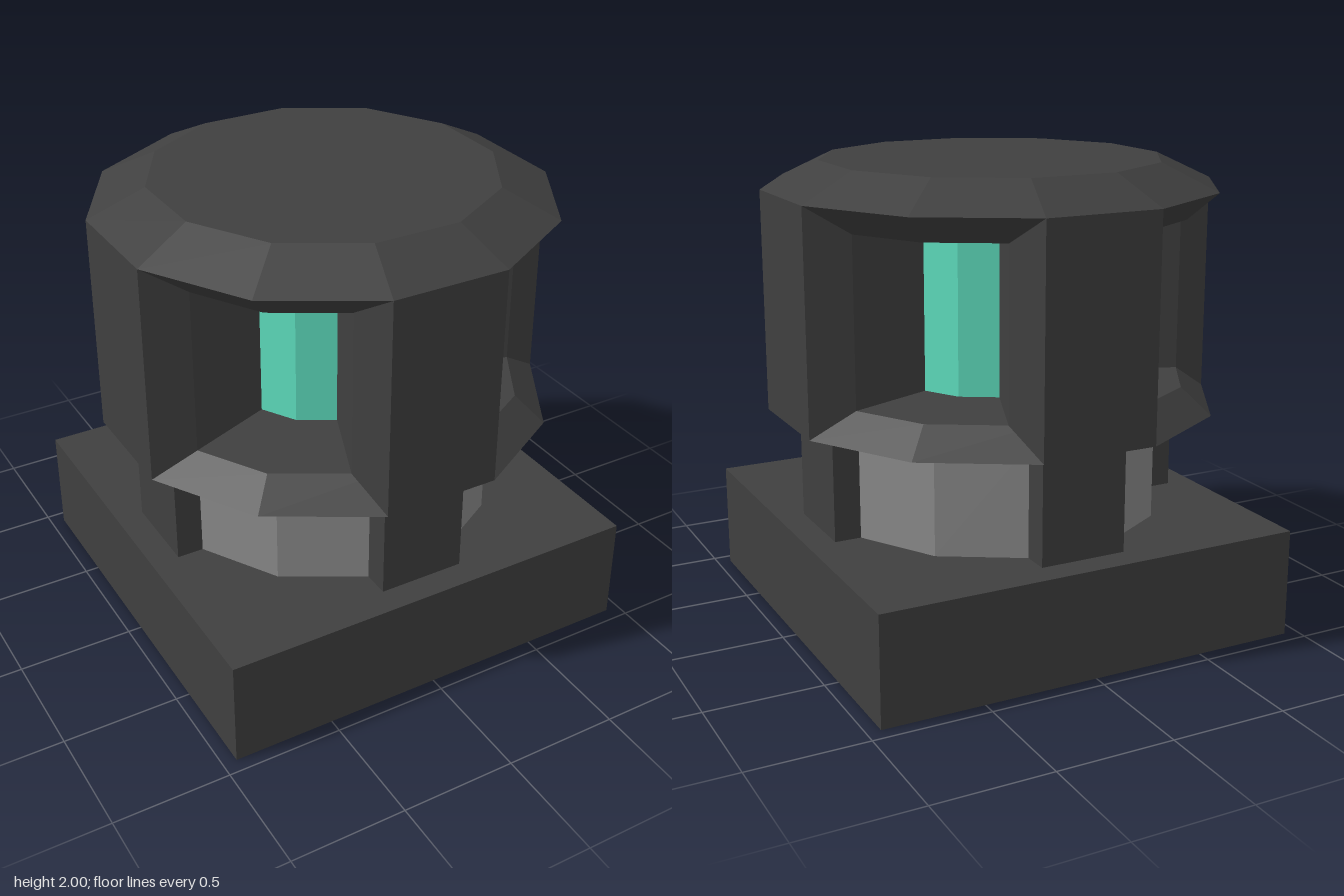
import * as THREE from 'three';

export function createModel() {
  const model = new THREE.Group();
  model.name = 'lantern';

  const mat = (name, color) => {
    const m = new THREE.MeshStandardMaterial({ color });
    m.name = name;
    return m;
  };
  const dark = mat('dark iron', 0x404040);
  const grey = mat('grey stone', 0x8a8a8a);
  const teal = mat('teal glow', 0x5fe0c0);

  // Flat facets baked into the normals
  const add = (name, geometry, material, parent = model) => {
    const g = geometry.index ? geometry.toNonIndexed() : geometry;
    g.computeVertexNormals();
    const mesh = new THREE.Mesh(g, material);
    mesh.name = name;
    parent.add(mesh);
    return mesh;
  };

  // Twelve-sided drum with a flat side facing +z; sizes are centre-to-flat distances
  const drum = (name, top, bottom, y0, y1, material) => {
    const k = 1 / Math.cos(Math.PI / 12);
    const g = new THREE.CylinderGeometry(top * k, bottom * k, y1 - y0, 12);
    g.rotateY(Math.PI / 12);
    g.translate(0, (y0 + y1) / 2, 0);
    return add(name, g, material);
  };

  // Square base
  add('base', new THREE.BoxGeometry(1.88, 0.47, 1.88).translate(0, 0.235, 0), dark);

  // Neck, glowing core and bevelled lips of the head
  drum('neck', 0.705, 0.705, 0.47, 0.945, grey);
  drum('lowerLip', 0.813, 0.94, 0.945, 1.06, dark);
  drum('core', 0.418, 0.418, 1.06, 1.77, teal);
  drum('upperLip', 0.94, 0.813, 1.77, 1.885, dark);
  drum('cap', 0.705, 0.94, 1.885, 2, dark);

  // Head pillar cross-section in x and z, mirrored
  const half = [[0.16, 0.39], [0.31, 0.76], [0.252, 0.94]];
  const section = new THREE.Shape(
    [...half, ...half.map(([x, z]) => [-x, z]).reverse()].map(([x, z]) => new THREE.Vector2(x, z))
  );

  // Four sides, each with a neck rib and a head pillar
  for (let i = 0; i < 4; i++) {
    const side = new THREE.Group();
    side.name = 'side' + (i + 1);
    side.rotation.y = (i * Math.PI) / 2;
    add('neckRib', new THREE.BoxGeometry(0.378, 0.475, 0.22).translate(0, 0.7075, 0.71), dark, side);
    const pillar = new THREE.ExtrudeGeometry(section, { depth: 0.94, bevelEnabled: false });
    pillar.rotateX(Math.PI / 2).translate(0, 1.885, 0);
    add('headPillar', pillar, dark, side);
    model.add(side);
  }

  return model;
}
